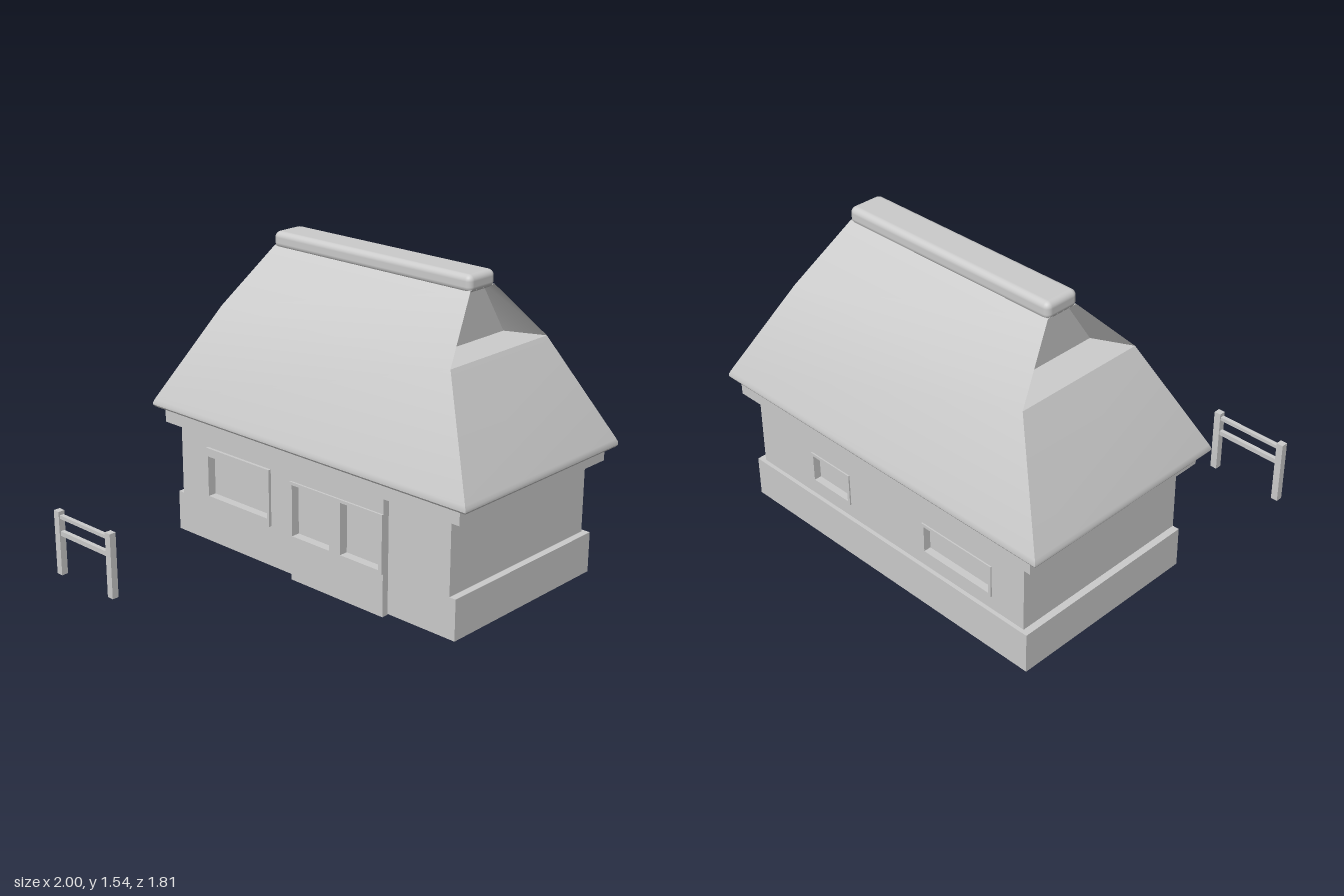
import * as THREE from 'three';
import { toCreasedNormals } from 'three/addons/utils/BufferGeometryUtils.js';
import { RoundedBoxGeometry } from 'three/addons/geometries/RoundedBoxGeometry.js';

const material = new THREE.MeshStandardMaterial({ color: 0xcccccc });

function add(parent, name, geometry) {
  const mesh = new THREE.Mesh(geometry, material);
  mesh.name = name;
  parent.add(mesh);
  return mesh;
}

// Box given by its limits on each axis
function box(parent, name, [x0, x1], [y0, y1], [z0, z1]) {
  const mesh = add(parent, name, new THREE.BoxGeometry(x1 - x0, y1 - y0, z1 - z0));
  mesh.position.set((x0 + x1) / 2, (y0 + y1) / 2, (z0 + z1) / 2);
  return mesh;
}

// Upright board with rectangular holes; rectangles are [x0, x1, y0, y1]
function board(parent, name, rect, holes, [z0, z1]) {
  const trace = (path, [x0, x1, y0, y1]) =>
    path.moveTo(x0, y0).lineTo(x1, y0).lineTo(x1, y1).lineTo(x0, y1).closePath();
  const shape = trace(new THREE.Shape(), rect);
  for (const h of holes) shape.holes.push(trace(new THREE.Path(), h));
  const mesh = add(parent, name, new THREE.ExtrudeGeometry(shape, { depth: z1 - z0, bevelEnabled: false }));
  mesh.position.z = z0;
  return mesh;
}

// Hipped thatch with a recessed small gable at each end
function roofGeometry() {
  const positions = [];
  const quad = (a, b, c, d) => positions.push(...a, ...b, ...c, ...a, ...c, ...d);
  // Rings: half width, front z, back z, height
  const rings = [
    [0.98, 0.2, -0.885, 0.66],
    [0.993, 0.213, -0.898, 0.664],
    [1.0, 0.22, -0.905, 0.674],
    [1.0, 0.22, -0.905, 0.686],
    [0.993, 0.214, -0.899, 0.703],
    [0.72, 0.0, -0.69, 1.195],
    [0.61, -0.26, -0.43, 1.47],
  ].map(([x, f, b, y]) => [[-x, y, f], [x, y, f], [x, y, b], [-x, y, b]]);

  const [bl, br, fr, fl] = rings[0];
  quad(fl, fr, br, bl); // underside
  for (let i = 0; i < rings.length - 1; i++) {
    for (let k = 0; k < 4; k++) {
      if (i === rings.length - 2 && k % 2 === 1) continue; // ends stay open above the ledge
      const n = (k + 1) % 4;
      quad(rings[i][k], rings[i][n], rings[i + 1][n], rings[i + 1][k]);
    }
  }
  quad(...rings[rings.length - 1]); // flat top below the ridge

  // Ledge, gable wall and two slanting reveals at each end
  for (const s of [1, -1]) {
    const side = (...corners) => {
      const c = corners.map(([x, y, z]) => [s * x, y, z]);
      quad(...(s > 0 ? c : c.reverse()));
    };
    const a = [0.72, 1.195, 0], a2 = [0.72, 1.195, -0.69];
    const b = [0.61, 1.47, -0.26], b2 = [0.61, 1.47, -0.43];
    const g = [0.55, 1.205, -0.1], g2 = [0.55, 1.205, -0.585];
    const h = [0.55, 1.47, -0.275], h2 = [0.55, 1.47, -0.415];
    side(a, a2, g2, g);
    side(g, g2, h2, h);
    side(a, g, h, b);
    side(a2, b2, h2, g2);
  }
  const geometry = new THREE.BufferGeometry();
  geometry.setAttribute('position', new THREE.Float32BufferAttribute(positions, 3));
  return toCreasedNormals(geometry, 0.6);
}

export function createModel() {
  const model = new THREE.Group();
  model.name = 'thatchedCottage';

  // Walls: a solid core with pierced front and back skins
  const frontWindow = [-0.665, -0.254, 0.26, 0.47];
  const backWindows = [[0.25, 0.485, 0.3, 0.435], [-0.665, -0.265, 0.3, 0.435]];
  const wall = [-0.87, 0.87, 0.215, 0.59];
  box(model, 'base', [-0.905, 0.905], [0.01, 0.215], [-0.855, 0.15]);
  box(model, 'wallCore', [-0.87, 0.87], [0.2, 0.59], [-0.805, 0.12]);
  board(model, 'frontWall', wall, [frontWindow], [0.12, 0.15]);
  board(model, 'backWall', wall, backWindows, [-0.835, -0.805]);

  // Window frames
  board(model, 'frontWindowFrame', [-0.68, -0.24, 0.22, 0.513], [frontWindow], [0.15, 0.165]);
  for (const w of backWindows) {
    const [x0, x1, y0, y1] = w;
    board(model, 'backWindowFrame', [x0 - 0.015, x1 + 0.015, y0 - 0.015, y1 + 0.015], [w], [-0.842, -0.835]);
  }

  // Projecting entrance with two recessed panels
  const panels = [[-0.055, 0.185, 0.238, 0.498], [0.255, 0.49, 0.238, 0.498]];
  board(model, 'entrance', [-0.07, 0.51, 0.005, 0.59], panels, [0.15, 0.185]);
  board(model, 'entranceFrame', [-0.07, 0.51, 0.22, 0.513], panels, [0.185, 0.195]);

  // Roof
  box(model, 'cornice', [-0.945, 0.945], [0.588, 0.662], [-0.878, 0.188]);
  add(model, 'roof', roofGeometry());
  const ridge = add(model, 'ridge', new RoundedBoxGeometry(1.228, 0.085, 0.185, 3, 0.03));
  ridge.position.set(0, 1.4975, -0.343);

  // Free-standing rail in front
  const fence = new THREE.Group();
  fence.name = 'fence';
  for (const x of [-0.927, -0.548]) box(fence, 'post', [x - 0.018, x + 0.018], [0, 0.33], [0.87, 0.905]);
  for (const [y0, y1] of [[0.205, 0.229], [0.293, 0.311]]) {
    box(fence, 'rail', [-0.927, -0.548], [y0, y1], [0.876, 0.898]);
  }
  model.add(fence);
  return model;
}
